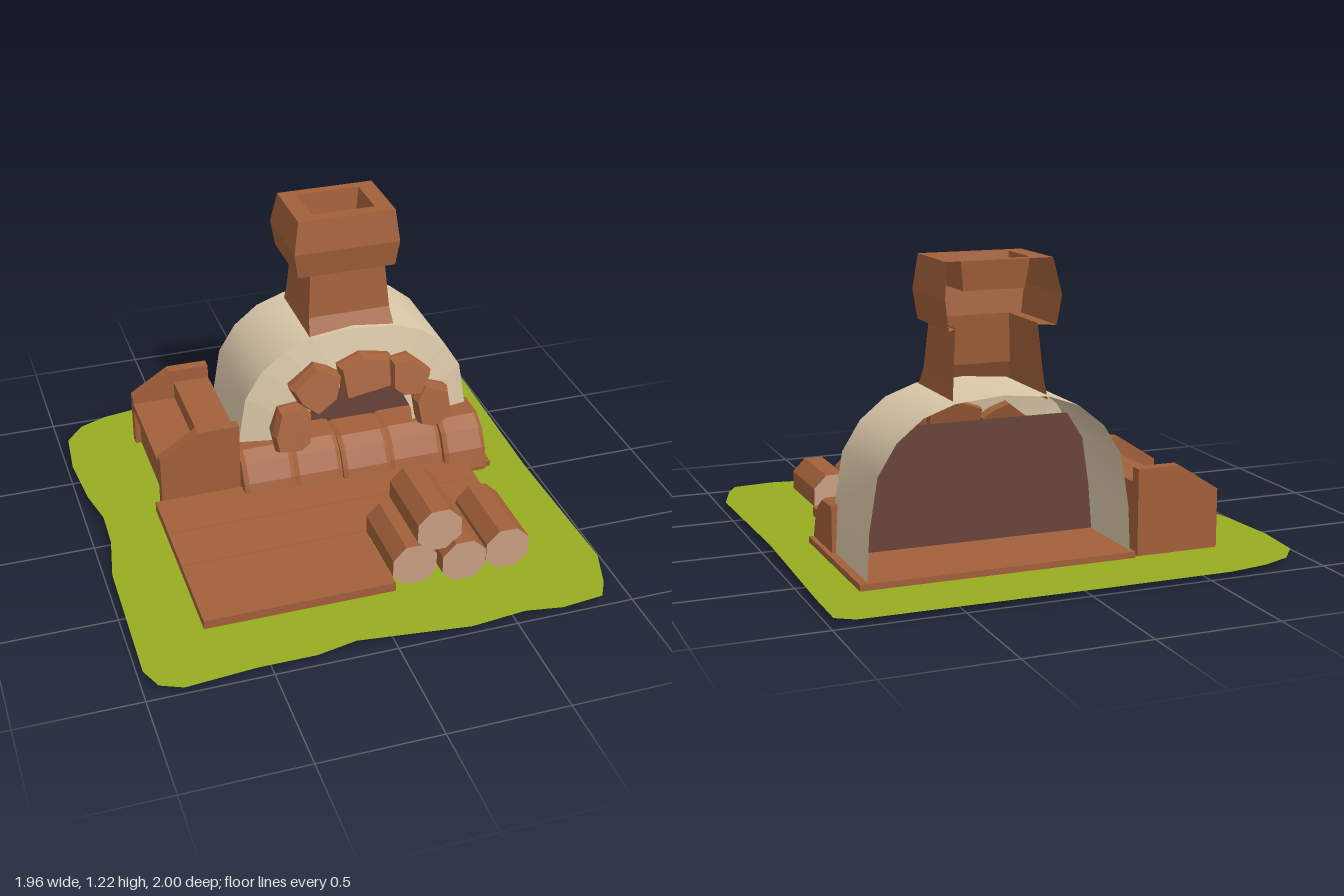
import * as THREE from 'three';

const mat = (name, color) => {
  const m = new THREE.MeshStandardMaterial({ color, side: THREE.DoubleSide });
  m.name = name;
  return m;
};

// Joins rings of [x, y, z] points with quads; ends can be closed with a fan
function loft(rings, { closed = true, capStart = false, capEnd = false, smooth = false } = {}) {
  const n = rings[0].length, pos = rings.flat(2), idx = [];
  for (let r = 0; r < rings.length - 1; r++) {
    for (let i = 0; i < (closed ? n : n - 1); i++) {
      const a = r * n + i, b = r * n + (i + 1) % n;
      idx.push(a, b, b + n, a, b + n, a + n);
    }
  }
  const last = (rings.length - 1) * n;
  for (let i = 1; i < n - 1; i++) {
    if (capStart) idx.push(0, i + 1, i);
    if (capEnd) idx.push(last, last + i, last + i + 1);
  }
  let g = new THREE.BufferGeometry();
  g.setAttribute('position', new THREE.Float32BufferAttribute(pos, 3));
  g.setIndex(idx);
  if (!smooth) g = g.toNonIndexed();
  g.computeVertexNormals();
  return g;
}

export function createModel() {
  const model = new THREE.Group();
  const clay = mat('clay brown', 0xa2603a);
  const plaster = mat('cream plaster', 0xdcc9aa);
  const grass = mat('grass green', 0x98ad22);
  const soot = mat('dark soot', 0x69433a);
  const cutWood = mat('cut wood', 0xcba085);

  const add = (name, geo, material, parent = model) => {
    const m = new THREE.Mesh(geo, material);
    m.name = name;
    parent.add(m);
    return m;
  };
  const group = (name) => {
    const g = new THREE.Group();
    g.name = name;
    model.add(g);
    return g;
  };
  // Box given by its limits
  const box = (name, x0, x1, y0, y1, z0, z1, parent) => {
    const m = add(name, new THREE.BoxGeometry(x1 - x0, y1 - y0, z1 - z0), clay, parent);
    m.position.set((x0 + x1) / 2, (y0 + y1) / 2, (z0 + z1) / 2);
  };
  const shapeOf = (pts) => new THREE.Shape(pts.map(([x, y]) => new THREE.Vector2(x, y)));

  // Lawn with an irregular edge
  const lawn = [
    [-0.98, 0.86], [-0.94, 0.955], [-0.85, 0.995], [-0.56, 0.97], [-0.32, 0.97], [-0.15, 0.935],
    [0.31, 0.99], [0.545, 0.965], [0.7, 0.99], [0.88, 0.97], [0.925, 0.89], [0.98, 0.72],
    [0.963, 0], [0.98, -0.72], [0.98, -0.945], [0.91, -0.99], [-0.07, -1], [-0.59, -1],
    [-0.76, -0.97], [-0.88, -0.92], [-0.96, -0.82], [-0.98, -0.6], [-0.96, -0.34],
    [-0.925, -0.17], [-0.93, 0.015], [-0.97, 0.24],
  ];
  const lawnGeo = new THREE.ShapeGeometry(shapeOf(lawn.map(([x, z]) => [x, -z])));
  lawnGeo.rotateX(-Math.PI / 2);
  add('lawn', lawnGeo, grass).position.y = 0.025;

  // Plank terrace
  const terrace = group('terrace');
  [[-0.7, 0.69, -0.14, 0.1], [-0.7, 0.69, 0.1, 0.33], [-0.7, 0.095, 0.33, 0.7]].forEach(
    ([x0, x1, z0, z1], i) => box('plank', x0, x1, 0.035, 0.078 - i * 0.002, z0, z1, terrace));
  box('ovenBase', -0.32, 0.81, 0.03, 0.055, -0.715, -0.03);

  // Oven vault, open at the back
  const half = [[0.54, 0.05], [0.53, 0.24], [0.495, 0.45], [0.42, 0.57], [0.315, 0.655], [0.19, 0.70]];
  const mirror = (pts, top) => [...pts.map(([x, y]) => [-x, y]), [0, top], ...[...pts].reverse()]
    .map(([x, y]) => [x + 0.235, y]);
  const arch = mirror(half, 0.718);
  const at = (pts, z) => pts.map(([x, y]) => [x, y, z]);
  add('ovenVault', loft([at(arch, -0.695), at(arch, -0.25)], { closed: false, smooth: true }), plaster);

  // Front wall leaning out towards the mouth
  const mouth = mirror([[0.27, 0.05], [0.265, 0.2], [0.25, 0.3], [0.21, 0.38], [0.15, 0.44], [0.08, 0.465]], 0.47);
  add('ovenFront', loft([at(arch, -0.25), at(mouth, -0.2)], { closed: false }), plaster);

  // Dark wall inside the oven, cut flat at the top
  const inner = [[-0.305, 0.05], [-0.29, 0.24], [-0.26, 0.44], [-0.19, 0.55],
    [0.66, 0.55], [0.73, 0.44], [0.76, 0.24], [0.775, 0.05]];
  add('fireboxWall', new THREE.ShapeGeometry(shapeOf(inner)), soot).position.z = -0.34;

  // Chimney: open at the back, so each ring is a U
  const u = (x0, x1, y, z0, z1) => [[x0, y, z0], [x0, y, z1], [x1, y, z1], [x1, y, z0]];
  const chimney = group('chimney');
  add('chimneyShaft', loft([
    u(0.035, 0.42, 0.68, -0.655, -0.255), u(0.045, 0.41, 0.77, -0.635, -0.305),
    u(0.06, 0.395, 0.97, -0.615, -0.33),
  ], { closed: false }), clay, chimney);
  add('chimneyHead', loft([
    u(0.06, 0.395, 0.965, -0.615, -0.33), u(0, 0.435, 0.965, -0.655, -0.31),
    u(-0.02, 0.45, 1.08, -0.66, -0.295), u(0.005, 0.435, 1.22, -0.63, -0.32),
  ], { closed: false }), clay, chimney);
  // Rim and flue opening
  const ring = (x0, x1, y, z0, z1) => u(x0, x1, y, z0, z1);
  add('chimneyFlue', loft([
    ring(0.005, 0.435, 1.22, -0.63, -0.32), ring(0.08, 0.36, 1.22, -0.585, -0.375),
    ring(0.095, 0.345, 1.1, -0.57, -0.395),
  ], { capEnd: true }), clay, chimney);

  // Row of rounded hearth stones
  const hearth = group('hearth');
  const section = [[-0.3, 0], [-0.04, 0], [-0.04, 0.04], [-0.065, 0.12], [-0.11, 0.195], [-0.17, 0.235], [-0.3, 0.24]];
  [[-0.315, -0.085, 0.015, -0.02], [-0.085, 0.13, 0, -0.02], [0.13, 0.35, 0, 0],
    [0.35, 0.595, 0.015, -0.01], [0.595, 0.79, 0.025, 0.01]].forEach(([x0, x1, y0, dz], i) => {
    const slice = (x, s) => section.map(([z, y]) => [x, Math.max(y0, y * s), -0.3 + (z + 0.3) * s + dz]);
    const s = i === 4 ? 1.04 : 1;
    add('hearthStone', loft([slice(x0, 0.97 * s), slice(x0 + 0.02, s), slice(x1 - 0.02, s), slice(x1, 0.97 * s)],
      { capStart: true, capEnd: true }), clay, hearth);
  });

  // Faceted stones around the mouth: outline and depth offset
  const archStones = group('archStones');
  [
    [-0.01, [[-0.17, 0.3], [-0.13, 0.41], [-0.03, 0.425], [0.015, 0.37], [0, 0.25], [-0.05, 0.22], [-0.16, 0.23]]],
    [-0.02, [[-0.085, 0.51], [0.035, 0.6], [0.1, 0.575], [0.155, 0.54], [0.125, 0.445], [0.025, 0.385], [-0.05, 0.445]]],
    [-0.02, [[0.135, 0.58], [0.245, 0.62], [0.38, 0.595], [0.375, 0.47], [0.26, 0.46], [0.15, 0.44]]],
    [-0.02, [[0.38, 0.57], [0.465, 0.58], [0.565, 0.495], [0.51, 0.405], [0.42, 0.41], [0.37, 0.45]]],
    [-0.01, [[0.485, 0.36], [0.535, 0.435], [0.65, 0.39], [0.66, 0.27], [0.56, 0.23], [0.5, 0.25]]],
  ].forEach(([dz, pts]) => {
    const cx = pts.reduce((t, p) => t + p[0], 0) / pts.length;
    const cy = pts.reduce((t, p) => t + p[1], 0) / pts.length;
    // The face leans back towards the top
    const layer = (z, s) => [...pts].reverse().map(([x, y]) => {
      const py = cy + (y - cy) * s;
      return [cx + (x - cx) * s, py, z + dz - (py - cy) * 0.3];
    });
    add('archStone', loft([layer(-0.23, 0.9), layer(-0.16, 1), layer(-0.12, 0.86)],
      { capStart: true, capEnd: true }), clay, archStones);
  });

  // Storage bench: two tall end boards with a stepped chest between
  const bench = group('bench');
  const board = shapeOf([[-0.67, 0.04], [-0.32, 0.04], [-0.32, 0.39], [-0.5, 0.39], [-0.67, 0.28]]);
  for (const z of [-0.73, -0.19]) {
    add('benchEnd', new THREE.ExtrudeGeometry(board, { depth: 0.05, bevelEnabled: false }), clay, bench).position.z = z;
  }
  box('benchSeat', -0.67, -0.48, 0.21, 0.25, -0.68, -0.19, bench);
  box('benchChest', -0.645, -0.48, 0.04, 0.21, -0.68, -0.19, bench);
  box('benchBack', -0.48, -0.32, 0.04, 0.33, -0.68, -0.19, bench);

  // Firewood: octagonal logs with pale cut ends
  const firewood = group('firewood');
  [[0.19, 0.113, 0.66], [0.39, 0.113, 0.695], [0.59, 0.113, 0.67], [0.29, 0.268, 0.665]].forEach(([x, y, z1]) => {
    const len = z1 - 0.33;
    const geo = new THREE.CylinderGeometry(0.101, 0.101, len, 8).toNonIndexed();
    geo.computeVertexNormals();
    const sides = 8 * 6;
    geo.clearGroups();
    geo.addGroup(0, sides, 0);
    geo.addGroup(sides, geo.attributes.position.count - sides, 1);
    geo.rotateY(Math.PI / 8);
    geo.rotateX(Math.PI / 2);
    add('log', geo, [clay, cutWood], firewood).position.set(x, y, 0.33 + len / 2);
  });

  return model;
}
